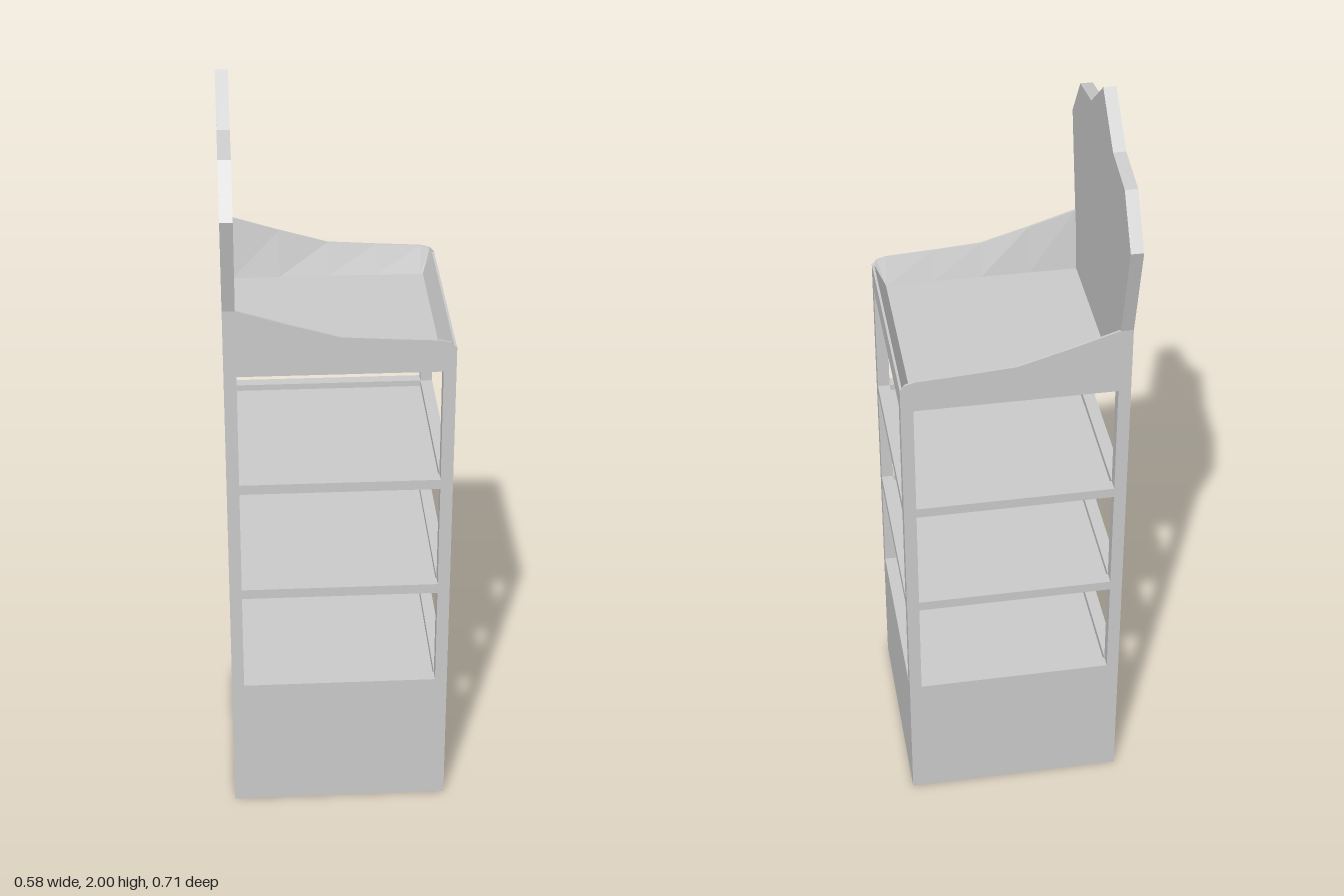
import * as THREE from 'three';

export function createModel() {
  const model = new THREE.Group();
  const grey = new THREE.MeshStandardMaterial({ color: 0xcccccc, flatShading: true });
  const R = 0.288, T = 0.032, IN = R - T;

  function add(name, geometry, x = 0, y = 0, z = 0, parent = model) {
    const mesh = new THREE.Mesh(geometry, grey);
    mesh.name = name;
    mesh.position.set(x, y, z);
    parent.add(mesh);
    return mesh;
  }

  // Square ring of four walls, extruded upward
  function squareRing(name, y0, y1, parent = model) {
    const square = (s) => [[-s, -s], [s, -s], [s, s], [-s, s]].map(([x, y]) => new THREE.Vector2(x, y));
    const shape = new THREE.Shape(square(R));
    shape.holes.push(new THREE.Path(square(IN).reverse()));
    const g = new THREE.ExtrudeGeometry(shape, { depth: y1 - y0, bevelEnabled: false });
    g.rotateX(-Math.PI / 2);
    return add(name, g, 0, y0, 0, parent);
  }

  // Hollow base, open underneath, with a recessed floor
  squareRing('baseWalls', 0, 0.38);
  add('baseFloor', new THREE.BoxGeometry(2 * IN, 0.012, 2 * IN), 0, 0.354, 0);

  // Corner posts
  for (const sx of [-1, 1]) for (const sz of [-1, 1]) {
    add('cornerPost', new THREE.BoxGeometry(T, 0.93, T), sx * (R - T / 2), 0.845, sz * (R - T / 2));
  }

  // Two shelves, each a thin panel inside a raised rail
  for (const y of [0.657, 0.973]) {
    const shelf = new THREE.Group();
    shelf.name = 'shelf';
    model.add(shelf);
    squareRing('shelfRail', y, y + 0.027, shelf);
    add('shelfPanel', new THREE.BoxGeometry(2 * IN, 0.01, 2 * IN), 0, y + 0.005, 0, shelf);
  }

  // Top tray floor
  const floorY = 1.325;
  add('trayFloor', new THREE.BoxGeometry(R + IN, 0.015, 2 * R), T / 2, floorY - 0.0075, 0);

  // Tray rim: sloping sides and low front, tapering from floor to a thin lip
  const side = [[-IN, 1.49], [-0.13, 1.45], [0, 1.412], [0.13, 1.403], [0.25, 1.396], [0.275, 1.389], [R, 1.375]];
  const stations = [
    ...side.map(([x, y]) => [x, y, R]),
    ...side.map(([x, y]) => [x, y, -R]).reverse(),
  ];
  const lip = R - 0.006;
  const clamp = THREE.MathUtils.clamp;
  const sections = stations.map(([x, y, z]) => [
    [x, floorY, z],
    [x, y, z],
    [Math.min(x, lip), y, clamp(z, -lip, lip)],
    [Math.min(x, IN), floorY, clamp(z, -IN, IN)],
  ]);
  const points = [];
  for (let i = 0; i < sections.length - 1; i++) {
    for (let j = 0; j < 3; j++) {
      const a = sections[i][j], b = sections[i + 1][j];
      const c = sections[i + 1][j + 1], d = sections[i][j + 1];
      points.push(...a, ...b, ...c, ...a, ...c, ...d);
    }
  }
  const rim = new THREE.BufferGeometry();
  rim.setAttribute('position', new THREE.Float32BufferAttribute(points, 3));
  rim.computeVertexNormals();
  add('trayRim', rim);

  // Header board with a pointed crown outline
  const half = [[R, 1.31], [R, 1.49], [0.353, 1.75], [0.265, 1.872], [0.13, 1.895]];
  const outline = [...half, [0, 2], ...half.map(([z, y]) => [-z, y]).reverse()];
  const header = new THREE.ExtrudeGeometry(
    new THREE.Shape(outline.map(([z, y]) => new THREE.Vector2(z, y))),
    { depth: T, bevelEnabled: false },
  );
  header.rotateY(Math.PI / 2);
  add('headerBoard', header, -R, 0, 0);

  return model;
}
